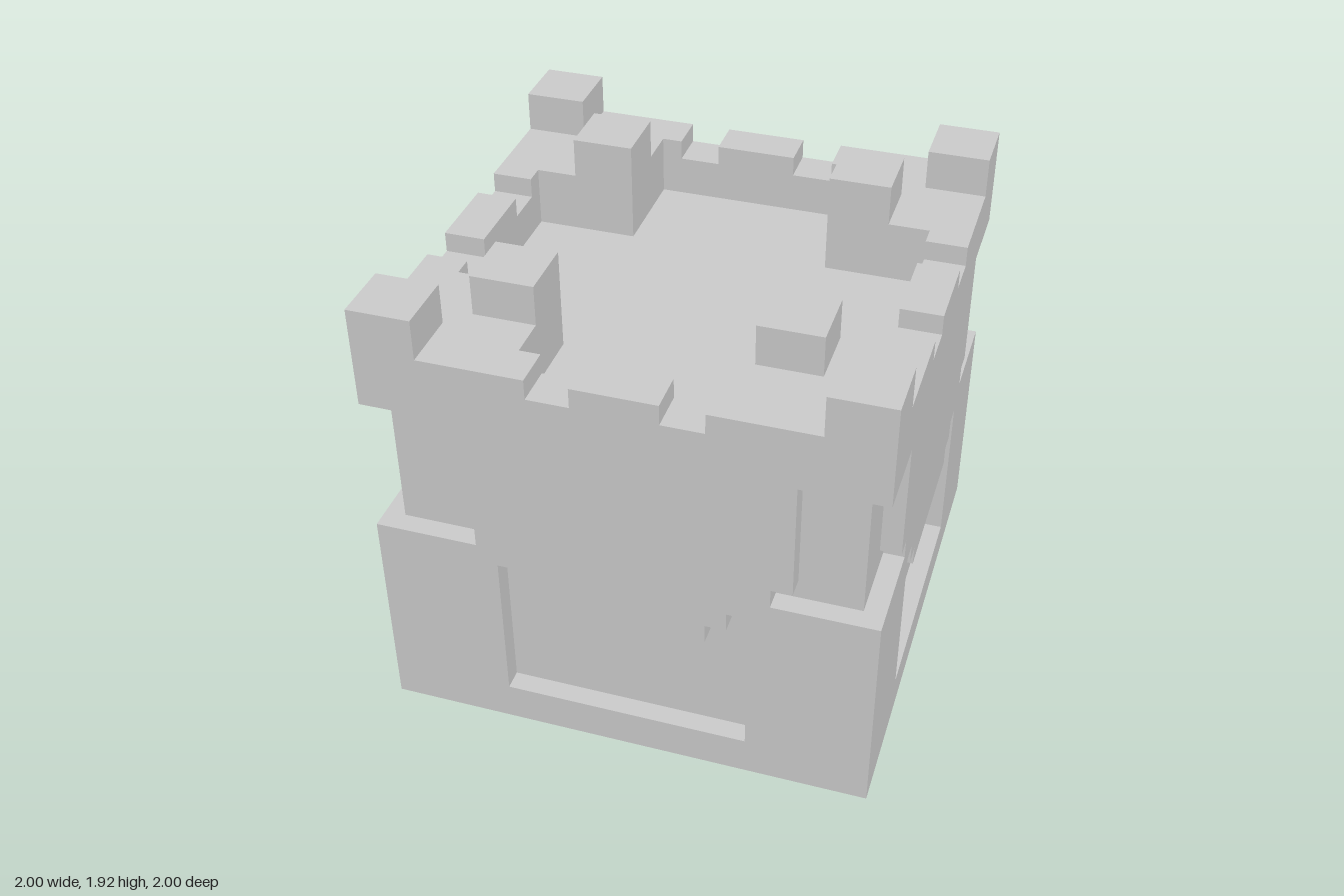
import * as THREE from 'three';

const U = 1 / 12; // one block
const mat = new THREE.MeshStandardMaterial({ color: 0xcccccc, flatShading: true });
const toVectors = (pts) => pts.map(([x, y]) => new THREE.Vector2(x, y));
const mirror = (pts) => pts.map(([x, y]) => [-x, y]);
// Right half of an outline, listed bottom to top, closed with its mirror image.
const symmetric = (half) => [...half, ...mirror(half).reverse()];

function extrude(outline, holes, depth) {
  const shape = new THREE.Shape(toVectors(outline));
  for (const h of holes) shape.holes.push(new THREE.Path(toVectors(h)));
  return new THREE.ExtrudeGeometry(shape, { depth, bevelEnabled: false });
}

// Plan outline raised from y0 to y1
const slab = (outline, holes, y0, y1) =>
  extrude(outline, holes, y1 - y0).rotateX(-Math.PI / 2).translate(0, y0, 0);

const box = (x0, x1, y0, y1, z0, z1) =>
  new THREE.BoxGeometry(x1 - x0, y1 - y0, z1 - z0)
    .translate((x0 + x1) / 2, (y0 + y1) / 2, (z0 + z1) / 2);

export function createModel() {
  const castle = new THREE.Group();
  castle.name = 'castle';
  const add = (name, geo, turn = 0) => {
    const mesh = new THREE.Mesh(geo.rotateY(turn * Math.PI / 2).scale(U, U, U), mat);
    mesh.name = name;
    castle.add(mesh);
  };

  // Core: its top is the courtyard floor, its corners are the niche pillars
  add('core', box(-11, 11, 0, 18, -11, 11));

  // Wall panels one block thick, cut back at the corner niches
  const wallSide = (h) => [[h, 0], [h, 11], [7, 11], [7, 12], [8, 12], [8, 18]];
  const recess = symmetric([[6, 2], [6, 10], [5, 10], [5, 9], [4, 9], [4, 8]]);
  const wall = (h) => extrude(symmetric(wallSide(h)), [recess], 1).translate(0, 0, 11);
  add('frontWall', wall(12), 0);
  add('leftWall', wall(11), 1);
  add('rightWall', wall(11), 3);

  // Back wall: stepped doorway with a flush arch standing in the recess
  const door = [[2, 7], [2, 6], [3, 6], [3, 5], [4, 5], [4, 0]];
  const slot = [[5, 2], [6, 2], [6, 10], [5, 10], [5, 9], [4, 9], [4, 8],
    [3, 8], [3, 7], [4, 7], [4, 6], [5, 6]];
  const backOutline = symmetric([...door, ...wallSide(12)]);
  add('backWall', extrude(backOutline, [slot, mirror(slot)], 1).translate(0, 0, 11), 2);

  // Overhanging parapet around the cross-shaped courtyard
  const square = [[-12, -12], [12, -12], [12, 12], [-12, 12]];
  const cross = symmetric([[5, -10], [5, -5], [10, -5], [10, 5], [5, 5], [5, 10]]);
  add('parapet', slab(square, [cross], 18, 20));

  // Battlements, the same at each corner and side
  const corner = [[4, 12], [12, 12], [12, 4], [10, 4], [10, 5], [5, 5], [5, 10], [4, 10]];
  for (let k = 0; k < 4; k++) {
    add('cornerPlatform', slab(corner, [], 20, 21), k);
    add('cornerMerlon', box(9, 12, 21, 23, 9, 12), k);
    add('innerTurret', box(5, 8, 21, 23, 5, 8), k);
    add('middleMerlon', box(-2, 2, 20, 21, 10, 12), k);
  }
  return castle;
}
